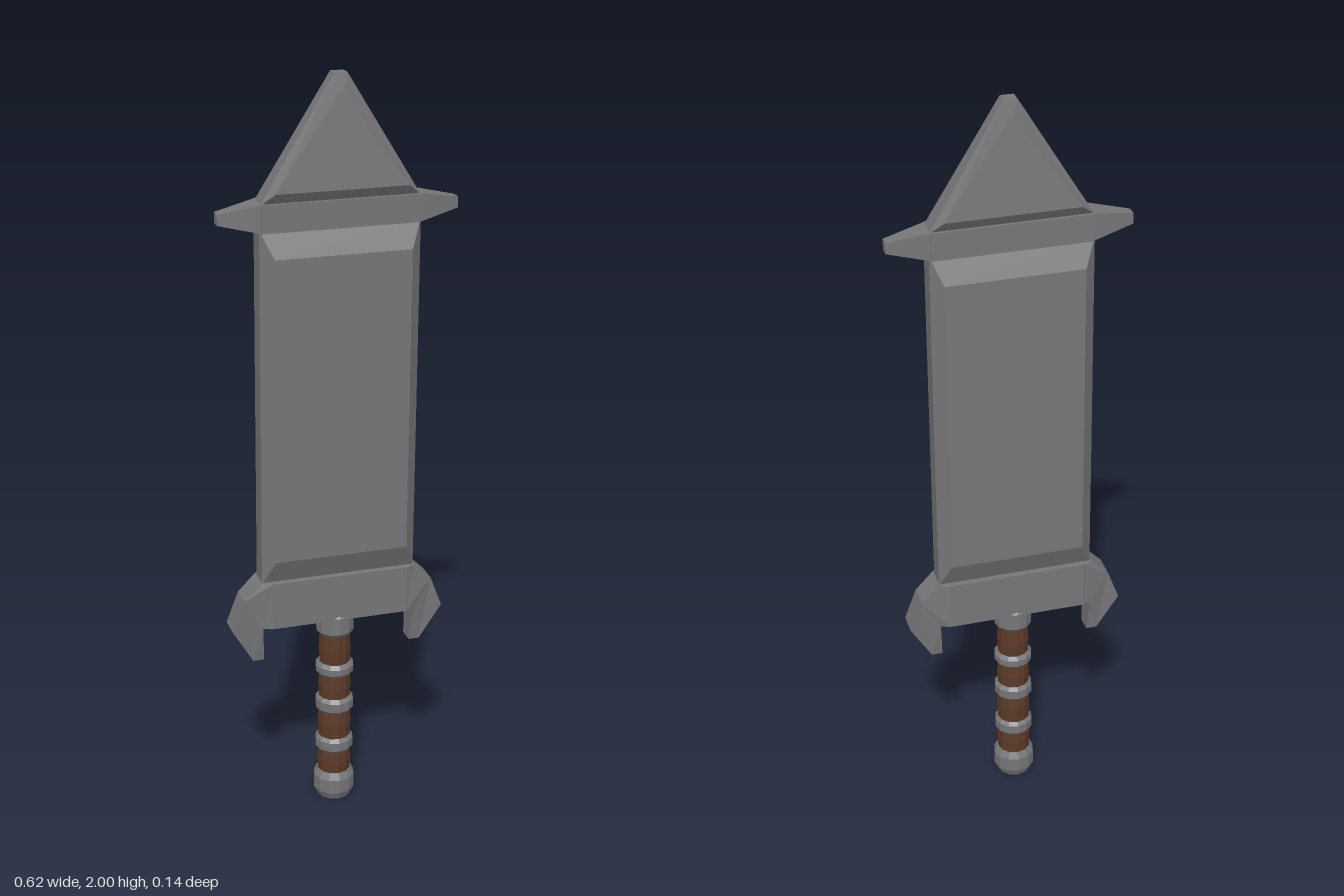
import * as THREE from 'three';

const metal = new THREE.MeshStandardMaterial({ color: 0x77777a });
metal.name = 'steel grey';
const leather = new THREE.MeshStandardMaterial({ color: 0x5c3a28 });
leather.name = 'leather brown';

// Flat facets: every face gets its own normal
function facet(geo) {
  const g = geo.index ? geo.toNonIndexed() : geo;
  g.computeVertexNormals();
  return g;
}

function add(parent, name, geo, mat) {
  const mesh = new THREE.Mesh(facet(geo), mat);
  mesh.name = name;
  parent.add(mesh);
  return mesh;
}

// Bevelled slab from two counter-clockwise outlines of [x, y, half depth]:
// the thin outer rim and the raised inner face, mirrored front to back
function bevelledSlab(rim, face) {
  const loops = [[face, -1], [rim, -1], [rim, 1], [face, 1]]
    .map(([pts, s]) => pts.map(([x, y, h]) => [x, y, h * s]));
  const n = rim.length, pos = [];
  const tri = (...p) => p.forEach(v => pos.push(...v));
  for (let k = 0; k < 3; k++) {
    for (let i = 0; i < n; i++) {
      const j = (i + 1) % n, a = loops[k], b = loops[k + 1];
      tri(a[i], a[j], b[j]);
      tri(a[i], b[j], b[i]);
    }
  }
  for (let i = 1; i < n - 1; i++) {
    tri(loops[3][0], loops[3][i], loops[3][i + 1]);
    tri(loops[0][0], loops[0][i + 1], loops[0][i]);
  }
  const g = new THREE.BufferGeometry();
  g.setAttribute('position', new THREE.Float32BufferAttribute(pos, 3));
  return g;
}

// Extruded outline whose half depth follows a rule of |x| and y
function taperedPlate(points, side, half) {
  const shape = new THREE.Shape(points.map(([x, y]) => new THREE.Vector2(x * side, y)));
  const g = new THREE.ExtrudeGeometry(shape, { depth: 1, bevelEnabled: false });
  const p = g.attributes.position;
  for (let i = 0; i < p.count; i++) {
    p.setZ(i, (p.getZ(i) > 0.5 ? 1 : -1) * half(Math.abs(p.getX(i)), p.getY(i)));
  }
  return g;
}

const lathe = pts => new THREE.LatheGeometry(pts.map(([r, y]) => new THREE.Vector2(r, y)), 12);

// Ring with chamfered edges
const ring = (y0, y1, r) => lathe([
  [0, y0], [r - 0.008, y0], [r, y0 + 0.01], [r, y1 - 0.01], [r - 0.008, y1], [0, y1]]);

export function createModel() {
  const root = new THREE.Group();
  root.name = 'sword';
  const sword = new THREE.Group();
  sword.name = 'leaningSword';
  sword.rotation.set(0.006, 0.06, -0.006);
  sword.position.set(-0.012, 0, -0.006);
  root.add(sword);

  // Pommel
  add(sword, 'pommel', lathe([
    [0, 0], [0.046, 0], [0.056, 0.022], [0.056, 0.062], [0.047, 0.08], [0, 0.08]]), metal);

  // Leather grip, pinched a little at each ring
  add(sword, 'grip', lathe([
    [0, 0.07], [0.044, 0.07], [0.046, 0.11], [0.043, 0.16], [0.046, 0.23],
    [0.042, 0.285], [0.045, 0.34], [0.041, 0.39], [0.044, 0.45], [0.041, 0.51], [0, 0.51]]), leather);

  // Grip rings and collar
  for (const [y0, y1] of [[0.142, 0.187], [0.263, 0.308], [0.374, 0.412]]) {
    add(sword, 'gripRing', ring(y0, y1, 0.052), metal);
  }
  add(sword, 'collar', ring(0.497, 0.565, 0.051), metal);

  // Lower guard block with a downward hook at each end
  const block = new THREE.BoxGeometry(0.37, 0.13, 0.092);
  block.translate(0, 0.616, 0);
  add(sword, 'lowerGuard', block, metal);
  for (const side of [1, -1]) {
    const hook = [[0.185, 0.681], [0.21, 0.681], [0.258, 0.635], [0.29, 0.55],
      [0.232, 0.452], [0.203, 0.452], [0.208, 0.551], [0.185, 0.551]];
    add(sword, side > 0 ? 'leftHook' : 'rightHook', taperedPlate(hook, side, (x, y) =>
      x < 0.19 ? 0.046 : y < 0.5 ? 0.022 : x < 0.22 ? 0.037 : 0.032), metal);
  }

  // Broad blade with bevels on all four edges
  const box = (w, y0, y1, h) => [[-w, y0, h], [w, y0, h], [w, y1, h], [-w, y1, h]];
  add(sword, 'blade', bevelledSlab(box(0.208, 0.675, 1.63, 0.026), box(0.178, 0.747, 1.56, 0.057)), metal);

  // Upper guard with pointed arms
  const band = new THREE.BoxGeometry(0.41, 0.072, 0.076);
  band.translate(0, 1.658, 0);
  add(sword, 'upperGuard', band, metal);
  for (const side of [1, -1]) {
    const arm = [[0.205, 1.622], [0.31, 1.645], [0.31, 1.673], [0.205, 1.694]];
    add(sword, side > 0 ? 'leftArm' : 'rightArm',
      taperedPlate(arm, side, x => x < 0.25 ? 0.034 : 0.014), metal);
  }

  // Triangular point with a blunt end
  add(sword, 'bladePoint', bevelledSlab(
    [[-0.206, 1.69, 0.027], [0.206, 1.69, 0.027], [0.017, 2, 0.016], [-0.017, 2, 0.016]],
    [[-0.172, 1.72, 0.046], [0.172, 1.72, 0.046], [0.006, 1.955, 0.024], [-0.006, 1.955, 0.024]]), metal);

  return root;
}
